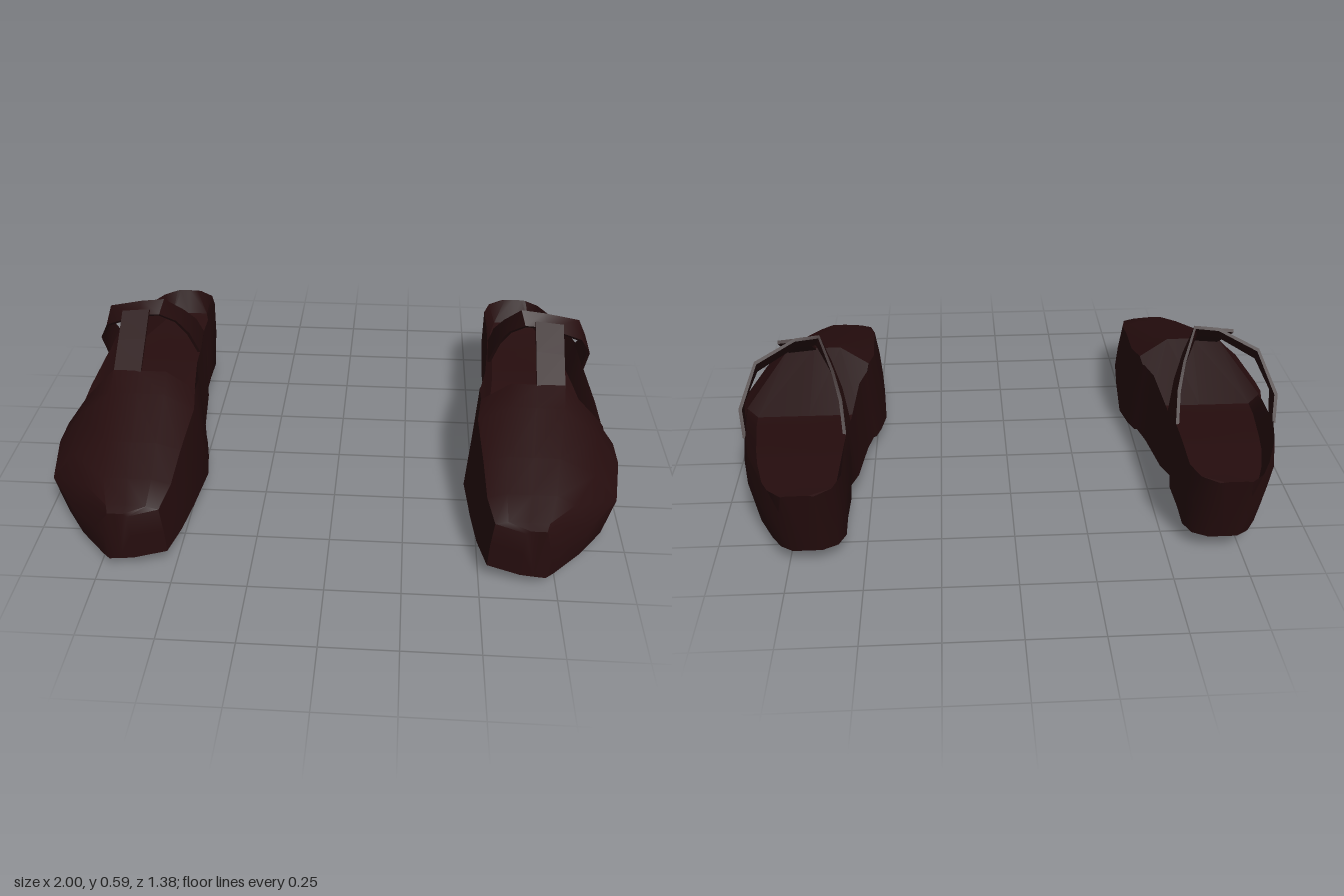
import * as THREE from 'three';
import { toCreasedNormals } from 'three/addons/utils/BufferGeometryUtils.js';

const leather = new THREE.MeshStandardMaterial({ color: 0x260d0e, side: THREE.DoubleSide });
leather.name = 'dark brown leather';

// Skin a list of closed rings, capping both ends; side -1 mirrors across x.
function loft(name, rings, side) {
  const n = rings[0].length, index = [];
  const tri = (a, b, c) => (side > 0 ? index.push(a, b, c) : index.push(a, c, b));
  for (let i = 0; i < rings.length - 1; i++) {
    for (let j = 0; j < n; j++) {
      const k = (j + 1) % n, a = i * n, b = a + n;
      tri(a + j, a + k, b + k);
      tri(a + j, b + k, b + j);
    }
  }
  const end = (rings.length - 1) * n;
  for (let j = 1; j < n - 1; j++) {
    tri(0, j + 1, j);
    tri(end, end + j, end + j + 1);
  }
  const points = rings.flat().map(([x, y, z]) => [x * side, y, z]);
  const geometry = new THREE.BufferGeometry();
  geometry.setAttribute('position', new THREE.Float32BufferAttribute(points.flat(), 3));
  geometry.setIndex(index);
  const mesh = new THREE.Mesh(toCreasedNormals(geometry.toNonIndexed(), 0.8), leather);
  mesh.name = name;
  return mesh;
}

// Heel to toe: z, inner x, outer x, sole y, inner rim y, outer rim y,
// insole or vamp y, and its two x limits
const SECTIONS = [
  [-0.69, 0.63, 0.74, 0.07, 0.335, 0.335, 0.338, 0.65, 0.72],
  [-0.65, 0.575, 0.79, 0.067, 0.335, 0.335, 0.25, 0.61, 0.755],
  [-0.58, 0.55, 0.83, 0.065, 0.335, 0.335, 0.235, 0.59, 0.79],
  [-0.45, 0.55, 0.885, 0.062, 0.34, 0.335, 0.23, 0.59, 0.84],
  [-0.32, 0.545, 0.915, 0.06, 0.35, 0.345, 0.22, 0.585, 0.875],
  [-0.315, 0.545, 0.915, 0.105, 0.35, 0.34, 0.22, 0.585, 0.875],
  [-0.24, 0.54, 0.93, 0.1, 0.33, 0.305, 0.21, 0.58, 0.89],
  [-0.05, 0.52, 0.965, 0.088, 0.365, 0.25, 0.19, 0.56, 0.92],
  [0.04, 0.5, 0.98, 0.085, 0.36, 0.215, 0.175, 0.55, 0.93],
  [0.05, 0.495, 0.985, 0.028, 0.357, 0.215, 0.175, 0.55, 0.93],
  [0.12, 0.48, 0.995, 0.015, 0.355, 0.31, 0.425, 0.61, 0.8],
  [0.22, 0.465, 1.0, 0.005, 0.335, 0.295, 0.392, 0.6, 0.79],
  [0.42, 0.48, 0.965, 0.02, 0.3, 0.265, 0.325, 0.59, 0.76],
  [0.56, 0.495, 0.865, 0.04, 0.26, 0.245, 0.278, 0.58, 0.74],
  [0.66, 0.525, 0.76, 0.04, 0.235, 0.23, 0.245, 0.58, 0.71],
  [0.69, 0.63, 0.72, 0.045, 0.225, 0.225, 0.235, 0.65, 0.7],
];

function bodyRing([z, xi, xo, yb, yi, yo, yt, t0, t1]) {
  const w = xo - xi, fore = z > 0.1;
  const zb = z + 0.07 * Math.max(0, (-z - 0.4) / 0.29); // heel back leans outward
  const lift = z > 0.045 ? 0.05 * w / 0.53 : 0; // inner edge of the front sole rises
  const zm = (z + zb) / 2;
  return [
    [(xi + xo) / 2, yb + lift * 0.4, zb],
    [xo - 0.075 * w, yb, zb],
    [xo, yb + 0.58 * (yo - yb), zm],
    [xo - (fore ? 0.17 : 0.04) * w, yo, z],
    [t1, yt, z],
    [(t0 + t1) / 2, yt, z],
    [t0, yt, z],
    [xi + (fore ? 0.06 : 0.03) * w, yi, z],
    [xi + 0.02 * w, yb + 0.55 * (yi - yb), zm],
    [xi + (z < -0.3 ? 0.05 * w : 0), yb + lift, zb],
  ];
}

// Flat band between two edges, thickened towards the ankle
function bandRing([ax, ay, az, bx, by, bz]) {
  const t = 0.012;
  const inward = new THREE.Vector3(0.74 - (ax + bx) / 2, 0.36 - (ay + by) / 2, -0.25 - (az + bz) / 2).setLength(t);
  const { x, y, z } = inward;
  return [[ax, ay, az], [bx, by, bz], [bx + x, by + y, bz + z], [ax + x, ay + y, az + z]];
}

// Front edge then back edge, from the inner side over to the outer side
const ANKLE_STRAP = [
  [0.555, 0.31, -0.22, 0.56, 0.335, -0.34],
  [0.58, 0.42, -0.17, 0.572, 0.43, -0.27],
  [0.615, 0.5, -0.12, 0.6, 0.505, -0.2],
  [0.665, 0.55, -0.075, 0.65, 0.595, -0.11],
  [0.74, 0.545, -0.075, 0.735, 0.585, -0.11],
  [0.88, 0.475, -0.12, 0.87, 0.53, -0.17],
  [0.93, 0.38, -0.19, 0.92, 0.41, -0.28],
  [0.925, 0.28, -0.24, 0.905, 0.33, -0.34],
];

// Strip joining the vamp to the ankle strap
const FRONT_STRAP = [[0.42, 0.13], [0.5, 0.02], [0.57, -0.075]]
  .map(([y, z]) => [0.7, y, z, 0.8, y - 0.01, z]);

export function createModel() {
  const model = new THREE.Group();
  model.name = 'pairOfShoes';
  for (const side of [1, -1]) {
    const shoe = new THREE.Group();
    shoe.name = side > 0 ? 'leftShoe' : 'rightShoe';
    shoe.add(
      loft('shoeBody', SECTIONS.map(bodyRing), side),
      loft('ankleStrap', ANKLE_STRAP.map(bandRing), side),
      loft('frontStrap', FRONT_STRAP.map(bandRing), side),
    );
    model.add(shoe);
  }
  return model;
}
